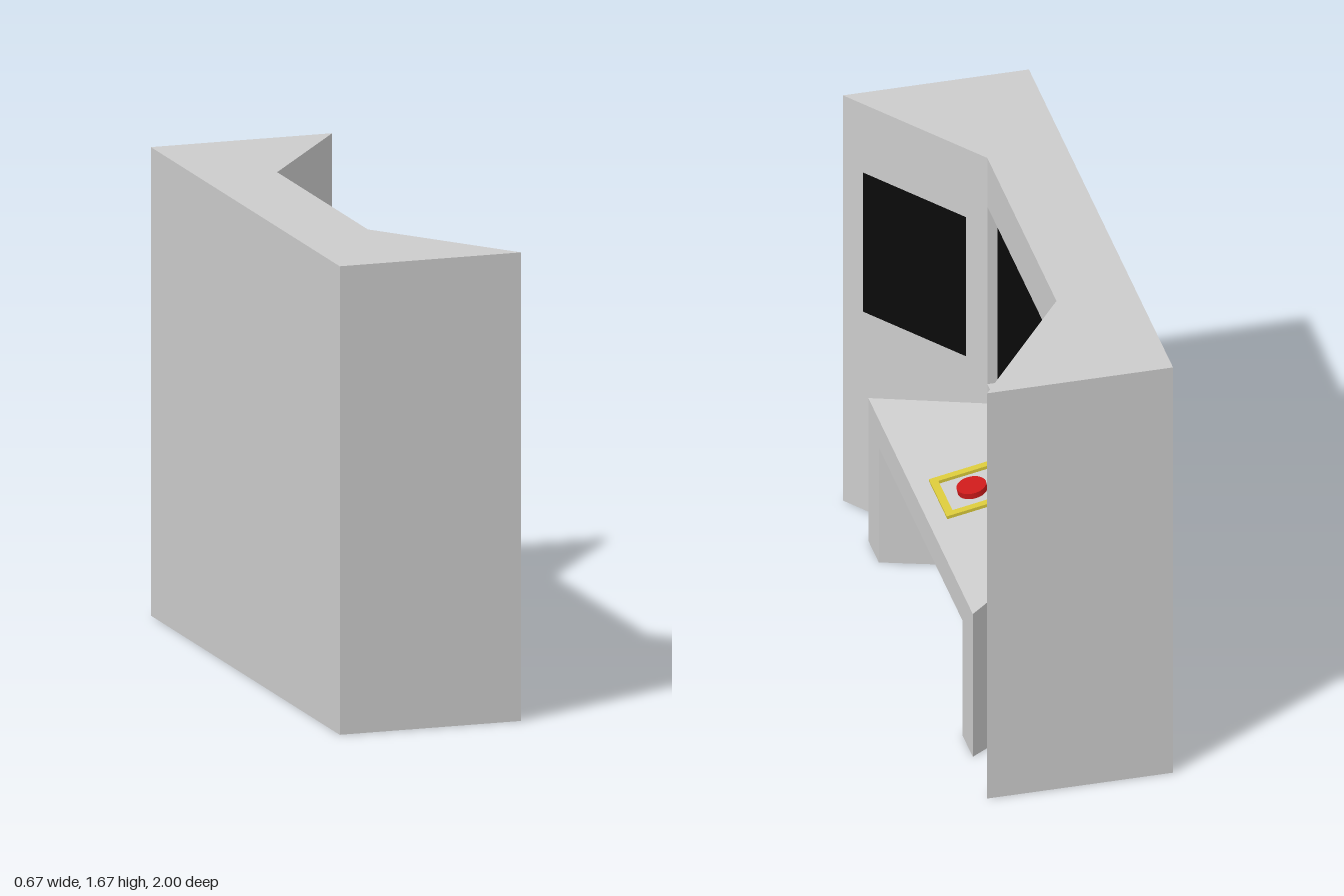
import * as THREE from 'three';

const material = (color) => new THREE.MeshStandardMaterial({ color });
const grey = material(0xcccccc);
const black = material(0x0a0a0a);
const yellow = material(0xd8c83a);
const red = material(0xcc1a1a);

function addMesh(parent, name, geometry, mat) {
  const mesh = new THREE.Mesh(geometry, mat);
  mesh.name = name;
  parent.add(mesh);
  return mesh;
}

// Closed faceted solid from stacked plan outlines; each level is [plan, height(x)]
function loft(levels) {
  const rings = levels.map(([plan, height]) =>
    plan.map(([x, z]) => new THREE.Vector3(x, height(x), z)));
  const points = [];
  const tri = (a, b, c) => {
    if (new THREE.Triangle(a, b, c).getArea() > 1e-7) points.push(a, b, c);
  };
  for (let k = 0; k + 1 < rings.length; k++) {
    const lo = rings[k], hi = rings[k + 1];
    lo.forEach((a, i) => {
      const j = (i + 1) % lo.length;
      tri(a, lo[j], hi[j]);
      tri(a, hi[j], hi[i]);
    });
  }
  // End caps, turned to face down and up
  [[rings[0], -1], [rings[rings.length - 1], 1]].forEach(([ring, side]) => {
    const flat = ring.map((p) => new THREE.Vector2(p.x, p.z));
    for (const [i, j, k] of THREE.ShapeUtils.triangulateShape(flat, [])) {
      const [a, b, c] = [ring[i], ring[j], ring[k]];
      const up = new THREE.Triangle(a, b, c).getNormal(new THREE.Vector3()).y;
      if (up * side > 0) tri(a, b, c);
      else tri(a, c, b);
    }
  });
  const geometry = new THREE.BufferGeometry().setFromPoints(points);
  geometry.computeVertexNormals();
  return geometry;
}

// Mirror half an outline across z = 0
const mirrored = (half) => [...half, ...half.map(([x, z]) => [x, -z]).reverse()];
const at = (y) => () => y;

export function createModel() {
  const model = new THREE.Group();
  model.name = 'controlStation';

  const wallX = -0.05, wallZ = 0.48, wingX = 0.335, backX = -0.335;
  const recessX = -0.09, screenLow = 0.74, screenHigh = 1.475;

  // Cabinet with splayed wings and a recess for the main screen
  const cabinetPlan = (x) => mirrored([[backX, 1], [wingX, 1], [wallX, wallZ], [x, wallZ]]);
  const flush = cabinetPlan(wallX), recessed = cabinetPlan(recessX);
  addMesh(model, 'cabinet', loft([
    [flush, at(0)], [flush, at(screenLow)],
    [recessed, at(screenLow)], [recessed, at(screenHigh)],
    [flush, at(screenHigh)], [flush, at(1.675)],
  ]), grey);

  // Main screen
  const main = addMesh(model, 'mainScreen',
    new THREE.PlaneGeometry(2 * wallZ, screenHigh - screenLow), black);
  main.rotation.y = Math.PI / 2;
  main.position.set(recessX + 0.003, (screenLow + screenHigh) / 2, 0);

  // Side screens lie on the slanted wings
  const run = wingX - wallX, span = 1 - wallZ, length = Math.hypot(run, span);
  for (const s of [1, -1]) {
    const nx = span / length, nz = -s * run / length;
    const screen = addMesh(model, s > 0 ? 'leftScreen' : 'rightScreen',
      new THREE.PlaneGeometry(0.37 * length / span, 0.575), black);
    screen.rotation.y = Math.atan2(nx, nz);
    screen.position.set(wallX + run * (0.74 - wallZ) / span + nx * 0.003, 1.107, s * 0.74 + nz * 0.003);
  }

  // Console desk with knee space below and a sloping top
  const frontX = 0.315, slope = (0.66 - 0.59) / (frontX - wallX);
  const topY = (x) => 0.66 - slope * (x - wallX);
  const deskPlan = (x) => mirrored([[wallX, wallZ], [frontX, 0.725], [frontX, 0.58], [x, 0.51]]);
  const legs = deskPlan(0.105), slab = deskPlan(frontX);
  addMesh(model, 'desk', loft([
    [legs, at(0)], [legs, at(0.475)], [slab, at(0.475)], [slab, topY],
  ]), grey);

  // Emergency button with its frame, tilted with the desk top
  const button = new THREE.Group();
  button.name = 'buttonAssembly';
  button.position.set(0.128, topY(0.128), 0);
  button.rotation.z = -Math.atan(slope);
  model.add(button);

  const rectangle = (target, w, h) => target.setFromPoints(
    [[-w, -h], [w, -h], [w, h], [-w, h]].map(([x, y]) => new THREE.Vector2(x, y)));
  const outline = rectangle(new THREE.Shape(), 0.125, 0.125);
  outline.holes.push(rectangle(new THREE.Path(), 0.097, 0.098));
  const frame = new THREE.ExtrudeGeometry(outline, { depth: 0.012, bevelEnabled: false });
  frame.rotateX(-Math.PI / 2);
  addMesh(button, 'buttonFrame', frame, yellow);
  addMesh(button, 'button', new THREE.CylinderGeometry(0.053, 0.053, 0.022, 32).translate(0, 0.011, 0), red);

  return model;
}
